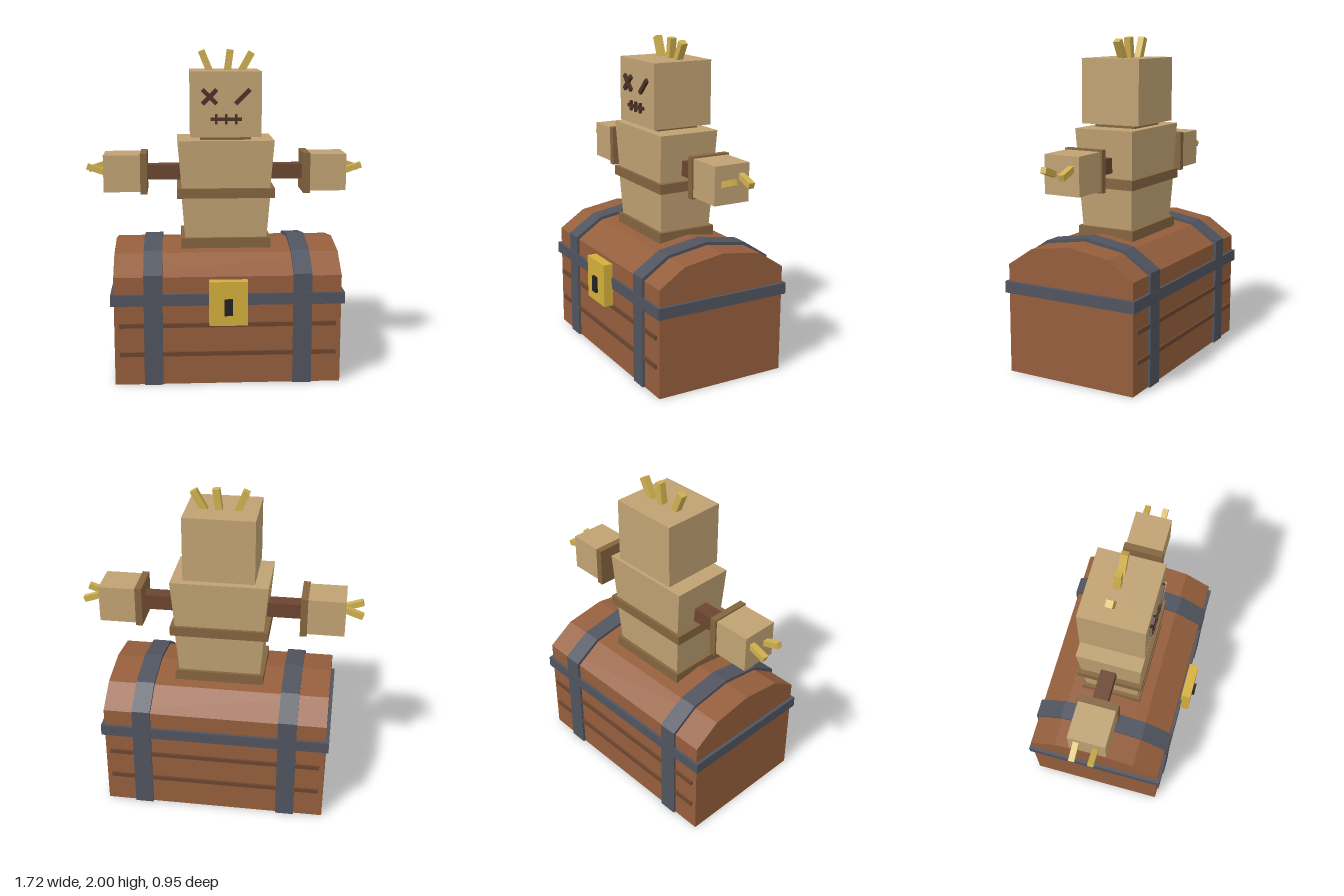
import * as THREE from 'three';

const mat = (color, side = THREE.FrontSide) =>
  new THREE.MeshStandardMaterial({ color, flatShading: true, side });

const WOOD = mat(0x955e3c, THREE.DoubleSide);
const DARK_WOOD = mat(0x6b4530);
const METAL = mat(0x50545f);
const GOLD = mat(0xd4af3c);
const BLACK = mat(0x222222);
const CLOTH = mat(0xc0a273);
const BAND = mat(0x84643f);
const STITCH = mat(0x4a3026);
const STRAW = mat(0xcfb050);

const ZC = -0.033; // shared centre line of the chest and the dummy

export function createModel() {
  const model = new THREE.Group();

  const add = (name, geometry, material, parent = model) => {
    const mesh = new THREE.Mesh(geometry, material);
    mesh.name = name;
    parent.add(mesh);
    return mesh;
  };

  const box = (name, size, pos, material, parent = model, tilt = 0) => {
    const mesh = add(name, new THREE.BoxGeometry(...size), material, parent);
    mesh.position.set(...pos);
    mesh.rotation.z = tilt;
    return mesh;
  };

  // Stick in the xy plane running from a to b
  const stick = (name, a, b, z, thick, depth, material, parent) => {
    const dx = b[0] - a[0], dy = b[1] - a[1];
    return box(name, [Math.hypot(dx, dy), thick, depth],
      [(a[0] + b[0]) / 2, (a[1] + b[1]) / 2, z], material, parent, Math.atan2(dy, dx));
  };

  // Box that narrows towards its bottom
  const taperedBox = (name, [w0, d0], [w1, d1], y0, y1, material, parent) => {
    const g = new THREE.BoxGeometry(1, y1 - y0, 1);
    const p = g.attributes.position;
    for (let i = 0; i < p.count; i++) {
      const top = p.getY(i) > 0;
      p.setX(i, p.getX(i) * (top ? w1 : w0));
      p.setZ(i, p.getZ(i) * (top ? d1 : d0));
    }
    g.computeVertexNormals();
    add(name, g, material, parent).position.set(0, (y0 + y1) / 2, ZC);
  };

  // Chest cross-section with an arched lid, extruded along x
  const archSlab = (half, low, mid, high, width, x) => {
    const k = half / 0.437;
    const pts = [[-half, 0], [half, 0], [half, low], [0.267 * k, mid], [0, high], [-0.267 * k, mid], [-half, low]];
    const shape = new THREE.Shape(pts.map(([u, y]) => new THREE.Vector2(u, y)));
    return new THREE.ExtrudeGeometry(shape, { depth: width, bevelEnabled: false })
      .rotateY(Math.PI / 2).translate(x - width / 2, 0, ZC);
  };

  // Leaves the underside open
  const openBottom = (g) => {
    const p = g.attributes.position, kept = [];
    for (let i = 0; i < p.count; i += 3) {
      const tri = [i, i + 1, i + 2];
      if (tri.every((j) => Math.abs(p.getY(j)) < 1e-6)) continue;
      tri.forEach((j) => kept.push(p.getX(j), p.getY(j), p.getZ(j)));
    }
    const out = new THREE.BufferGeometry();
    out.setAttribute('position', new THREE.Float32BufferAttribute(kept, 3));
    out.computeVertexNormals();
    return out;
  };

  // Chest
  const chest = new THREE.Group();
  chest.name = 'chest';
  model.add(chest);
  add('chestBody', openBottom(archSlab(0.423, 0.67, 0.78, 0.82, 1.37, 0)), WOOD, chest);
  for (const s of [-1, 1])
    add('verticalStrap', archSlab(0.438, 0.685, 0.797, 0.84, 0.113, s * 0.45), METAL, chest);
  box('rimBand', [1.41, 0.07, 0.88], [0, 0.532, ZC], METAL, chest);
  for (const y of [0.192, 0.372])
    for (const s of [-1, 1])
      box('plankSeam', [1.31, 0.026, 0.03], [0, y, ZC + s * 0.421], DARK_WOOD, chest);

  // Eight-sided hollow inside the open base
  add('baseHollow', new THREE.CylinderGeometry(0.27, 0.35, 0.36, 8, 1, true)
    .translate(0, 0.18, ZC), WOOD, chest);
  add('hollowCeiling', new THREE.CircleGeometry(0.27, 8).rotateX(Math.PI / 2)
    .translate(0, 0.36, ZC), DARK_WOOD, chest);

  // Lock
  box('lockPlate', [0.23, 0.27, 0.06], [0, 0.52, 0.43], GOLD, chest);
  box('keyhole', [0.05, 0.1, 0.03], [0, 0.5, 0.461], BLACK, chest);

  // Torso
  const dummy = new THREE.Group();
  dummy.name = 'dummy';
  model.add(dummy);
  box('waistBand', [0.55, 0.065, 0.38], [0, 0.822, ZC], BAND, dummy);
  taperedBox('lowerTorso', [0.5, 0.335], [0.546, 0.366], 0.82, 1.12, CLOTH, dummy);
  box('belt', [0.6, 0.06, 0.403], [0, 1.135, ZC], BAND, dummy);
  taperedBox('upperTorso', [0.54, 0.365], [0.592, 0.392], 1.14, 1.457, CLOTH, dummy);
  box('neck', [0.31, 0.06, 0.275], [0, 1.465, ZC], BAND, dummy);

  // Head with straw hair
  const head = new THREE.Group();
  head.name = 'head';
  dummy.add(head);
  box('headBlock', [0.43, 0.395, 0.393], [0, 1.677, ZC], CLOTH, head);
  const hair = [[[-0.08, 1.84], [-0.143, 1.992]], [[0.015, 1.84], [0.037, 1.998]], [[0.09, 1.84], [0.17, 1.982]]];
  for (const [a, b] of hair) stick('hairStraw', a, b, -0.06, 0.042, 0.042, STRAW, head);

  // Stitched face
  const FZ = 0.17;
  for (const s of [-1, 1])
    box('crossEye', [0.122, 0.026, 0.02], [-0.1, 1.725, FZ], STITCH, head, s * Math.PI / 4);
  box('slashEye', [0.122, 0.026, 0.02], [0.1, 1.725, FZ], STITCH, head, Math.PI / 4);
  box('mouth', [0.19, 0.02, 0.018], [0, 1.59, FZ], STITCH, head);
  for (const x of [-0.06, 0, 0.06])
    box('mouthStitch', [0.015, 0.06, 0.02], [x, 1.59, FZ], STITCH, head);

  // Arms, with crossed straw fingers
  for (const s of [-1, 1]) {
    const arm = new THREE.Group();
    arm.name = s > 0 ? 'leftArm' : 'rightArm';
    dummy.add(arm);
    box('armStick', [0.27, 0.093, 0.093], [s * 0.375, 1.245, -0.038], DARK_WOOD, arm);
    box('cuff', [0.042, 0.25, 0.25], [s * 0.505, 1.245, -0.037], BAND, arm);
    box('hand', [0.235, 0.228, 0.23], [s * 0.635, 1.247, -0.037], CLOTH, arm);
    stick('fingerStraw', [s * 0.71, 1.237], [s * 0.855, 1.287], 0.016, 0.036, 0.036, STRAW, arm);
    stick('fingerStraw', [s * 0.71, 1.302], [s * 0.855, 1.252], -0.1, 0.036, 0.036, STRAW, arm);
  }

  return model;
}
